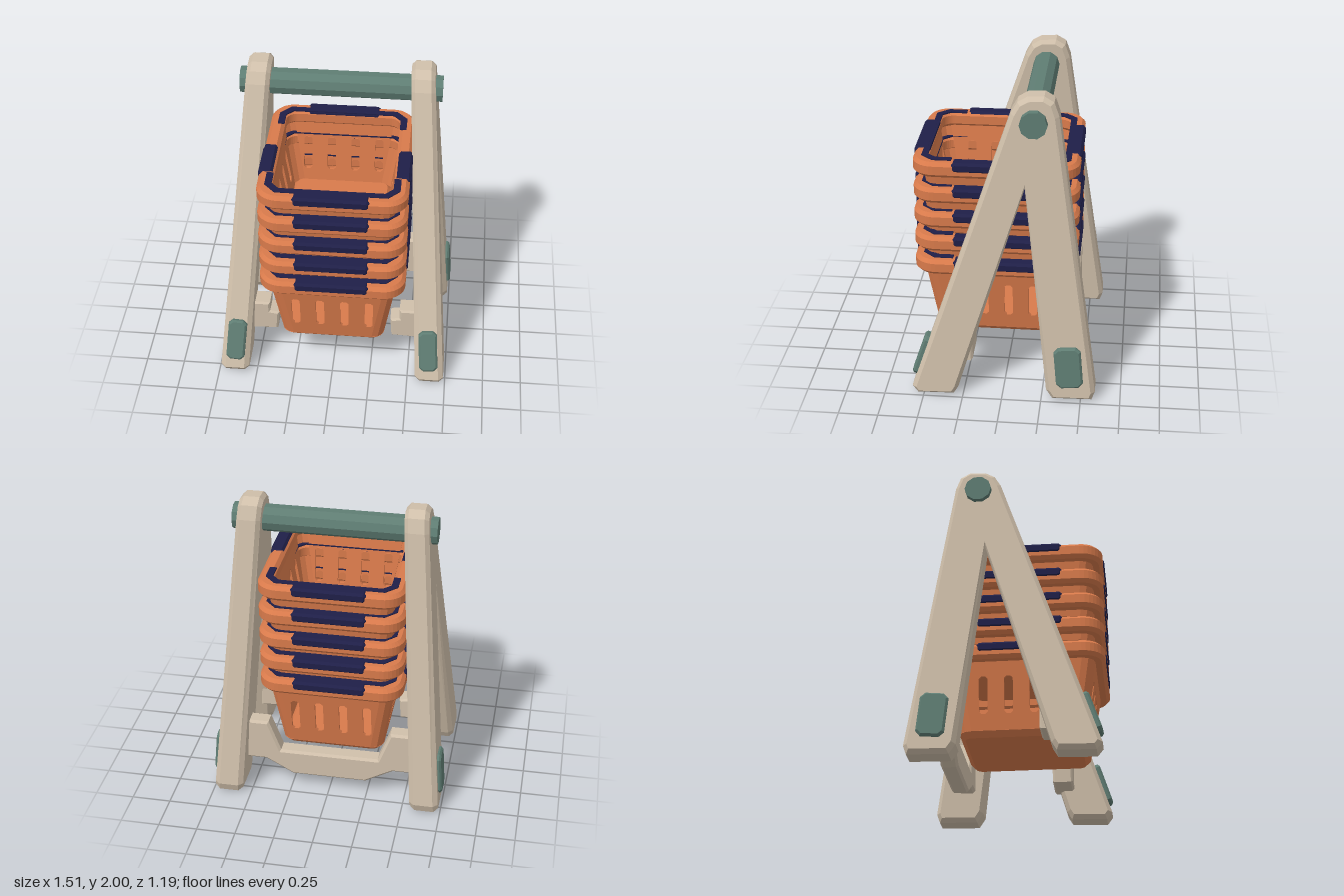
import * as THREE from 'three';

const mat = (name, color) => new THREE.MeshStandardMaterial({ name, color, flatShading: true, side: THREE.DoubleSide });

// Bevelled extrusion, centred on its depth, keeping the outline size
function extrude(shape, depth, bevel = 0, segs = 1) {
  const g = new THREE.ExtrudeGeometry(shape, {
    depth: depth - 2 * bevel, bevelEnabled: bevel > 0, bevelSize: bevel, bevelThickness: bevel,
    bevelOffset: -bevel, bevelSegments: segs, curveSegments: 4,
  });
  return g.translate(0, 0, -depth / 2 + bevel);
}

const poly = (pts, Kind = THREE.Shape) => new Kind(pts.map(([x, y]) => new THREE.Vector2(x, y)));

// Rectangle with cut corners
const octagon = (w, h, c, x = 0, y = 0, Kind = THREE.Shape) => poly([
  [x - w / 2 + c, y - h / 2], [x + w / 2 - c, y - h / 2], [x + w / 2, y - h / 2 + c], [x + w / 2, y + h / 2 - c],
  [x + w / 2 - c, y + h / 2], [x - w / 2 + c, y + h / 2], [x - w / 2, y + h / 2 - c], [x - w / 2, y - h / 2 + c]], Kind);

function roundRect(hx, hy, r, Kind = THREE.Shape) {
  const s = new Kind();
  s.absarc(hx - r, hy - r, r, 0, Math.PI / 2);
  s.absarc(r - hx, hy - r, r, Math.PI / 2, Math.PI);
  s.absarc(r - hx, r - hy, r, Math.PI, Math.PI * 1.5);
  s.absarc(hx - r, r - hy, r, Math.PI * 1.5, Math.PI * 2);
  s.closePath();
  return s;
}

// Move every vertex of a geometry by a rule
function warp(g, rule) {
  const p = g.attributes.position, v = new THREE.Vector3();
  for (let i = 0; i < p.count; i++) {
    rule(v.fromBufferAttribute(p, i));
    p.setXYZ(i, v.x, v.y, v.z);
  }
  g.computeVertexNormals();
  return g;
}

export function createModel() {
  const root = new THREE.Group();
  const tan = mat('tan', 0xcfbfaa), orange = mat('orange', 0xd87a4b);
  const green = mat('greyGreen', 0x5f7d73), navy = mat('navy', 0x1f1f48);
  const add = (parent, name, geo, material, x = 0, y = 0, z = 0) => {
    const m = new THREE.Mesh(geo, material);
    m.name = name;
    m.position.set(x, y, z);
    parent.add(m);
    return m;
  };

  // ---- Frame: two splayed A shaped sides ----
  const outline = poly([
    [0.575, 0.05], [-0.04, 1.89], [-0.08, 1.96], [-0.14, 1.995], [-0.24, 2], [-0.3, 1.965], [-0.33, 1.88],
    [-0.59, 0.07], [-0.57, 0.015], [-0.32, 0.01], [-0.28, 0.07], [-0.13, 1.42],
    [0.28, 0.06], [0.31, 0.01], [0.54, 0.005]]);
  const lean = y => 0.515 + (1.9 - y) * 0.07;
  for (const side of [1, -1]) {
    const label = side > 0 ? 'left' : 'right';
    const frame = extrude(outline, 0.15, 0.025).rotateY(-Math.PI / 2);
    add(root, label + 'Frame', warp(frame, v => {
      v.x = v.x * (1 + (1.9 - v.y) * 0.13) + side * lean(v.y);
    }), tan);

    // Foot pads: one on the front of the front leg, one outside the back leg
    const front = add(root, label + 'FrontPad', extrude(octagon(0.12, 0.28, 0.025), 0.07, 0.012), green,
      side * 0.63, 0.25, 0.505);
    front.rotation.set(-0.32, 0, side * 0.07);
    const outer = add(root, label + 'OuterPad',
      extrude(octagon(0.17, 0.28, 0.03), 0.06, 0.012).rotateY(Math.PI / 2), green, side * 0.715, 0.25, -0.42);
    outer.rotation.set(0.09, 0, side * 0.07);

    // Stepped basket support on the inside of the front leg
    const step = poly([[0.38, 0.2], [0.6, 0.19], [0.6, 0.42], [0.43, 0.42], [0.43, 0.35], [0.37, 0.34]]
      .map(([x, y]) => [x * side, y]));
    add(root, label + 'Support', extrude(step, 0.13, 0.012), tan, 0, 0, 0.265);
  }

  // Back brace between the rear legs
  const half = [[0.24, 0.1], [0.42, 0.2], [0.6, 0.2], [0.6, 0.49], [0.4, 0.49], [0.32, 0.28]];
  const brace = poly([...half, ...half.map(([x, y]) => [-x, y]).reverse()]);
  add(root, 'backBrace', extrude(brace, 0.11, 0.015), tan, 0, 0, -0.385);

  // Top bar
  add(root, 'topBar', new THREE.CylinderGeometry(0.085, 0.085, 1.27, 10).rotateZ(Math.PI / 2), green, 0, 1.84, -0.18);

  // ---- Baskets, with y = 0 at the rim top ----
  const bottom = -0.53, cut = 0.08;
  const halfX = y => 0.335 + (y - bottom) * 0.16;
  const halfZ = y => 0.39 + (y - bottom) * 0.16;

  // Tapered wall with slots, facing +z before it is turned
  function wall(across, out, depth, slots) {
    const s = poly([[-across(depth) + cut, depth], [across(depth) - cut, depth],
      [across(-0.04) - cut, -0.04], [cut - across(-0.04), -0.04]]);
    if (slots) for (let i = 0; i < 4; i++)
      s.holes.push(octagon(0.055, 0.235, 0.015, -0.235 + i * 0.157, -0.31, THREE.Path));
    return warp(extrude(s, 0.02), v => { v.z += out(v.y) - 0.01; });
  }

  function basket(top, depth, full, gripFrom) {
    const b = new THREE.Group();
    b.name = 'basket';
    b.position.set(0, top, 0.07);
    root.add(b);

    // Rim
    const rim = roundRect(0.465, 0.52, 0.14);
    rim.holes.push(roundRect(0.37, 0.425, 0.07, THREE.Path));
    add(b, 'rim', extrude(rim, 0.1, 0.022).rotateX(Math.PI / 2), orange, 0, -0.05, 0);

    // Walls and rounded corners
    for (let i = 0; i < 4; i++) {
      const geo = i % 2 ? wall(halfZ, halfX, depth, full) : wall(halfX, halfZ, depth, full);
      add(b, 'wall', geo.rotateY(i * Math.PI / 2), orange);
      const sx = i % 2 ? 1 : -1, sz = i < 2 ? 1 : -1;
      const corner = warp(new THREE.PlaneGeometry(1, 1, 3, 1), v => {
        const a = (v.x + 0.5) * Math.PI / 2, y = v.y > 0 ? -0.04 : depth;
        v.set(sx * (halfX(y) - cut + cut * Math.cos(a)), y, sz * (halfZ(y) - cut + cut * Math.sin(a)));
      });
      add(b, 'corner', corner, orange);
    }

    // Chamfered floor
    if (full) add(b, 'floor', extrude(roundRect(0.335, 0.39, cut), 0.07, 0.034).rotateX(Math.PI / 2), orange, 0, bottom, 0);

    // Grips on the four sides
    for (const s of [1, -1]) {
      add(b, 'endGrip', extrude(octagon(0.47, 0.066, 0.015), 0.1, 0.015), navy, 0, -0.027, s * 0.477);
      const len = 0.335 - gripFrom;
      add(b, 'sideGrip', extrude(octagon(len, 0.066, 0.015), 0.09, 0.015).rotateY(Math.PI / 2), navy,
        s * 0.427, -0.027, (0.335 + gripFrom) / 2 - 0.07);

      // Thin lining round the inner corners
      const strip = poly([[0.415, 0.27], [0.415, 0.39], [0.345, 0.465], [-0.345, 0.465], [-0.415, 0.39], [-0.415, 0.27],
        [-0.372, 0.27], [-0.372, 0.375], [-0.325, 0.425], [0.325, 0.425], [0.372, 0.375], [0.372, 0.27]]);
      add(b, 'lining', extrude(strip, 0.009).rotateX(Math.PI / 2).rotateY(s > 0 ? 0 : Math.PI), navy, 0, 0.001, 0);
    }
  }

  // Lowest basket, two short nested shells, then two full baskets
  basket(0.825, bottom, true, -0.2);
  basket(0.99, -0.14, false, -0.2);
  basket(1.155, -0.14, false, -0.2);
  basket(1.325, bottom, true, -0.2);
  basket(1.5, bottom, true, 0.03);

  return root;
}
